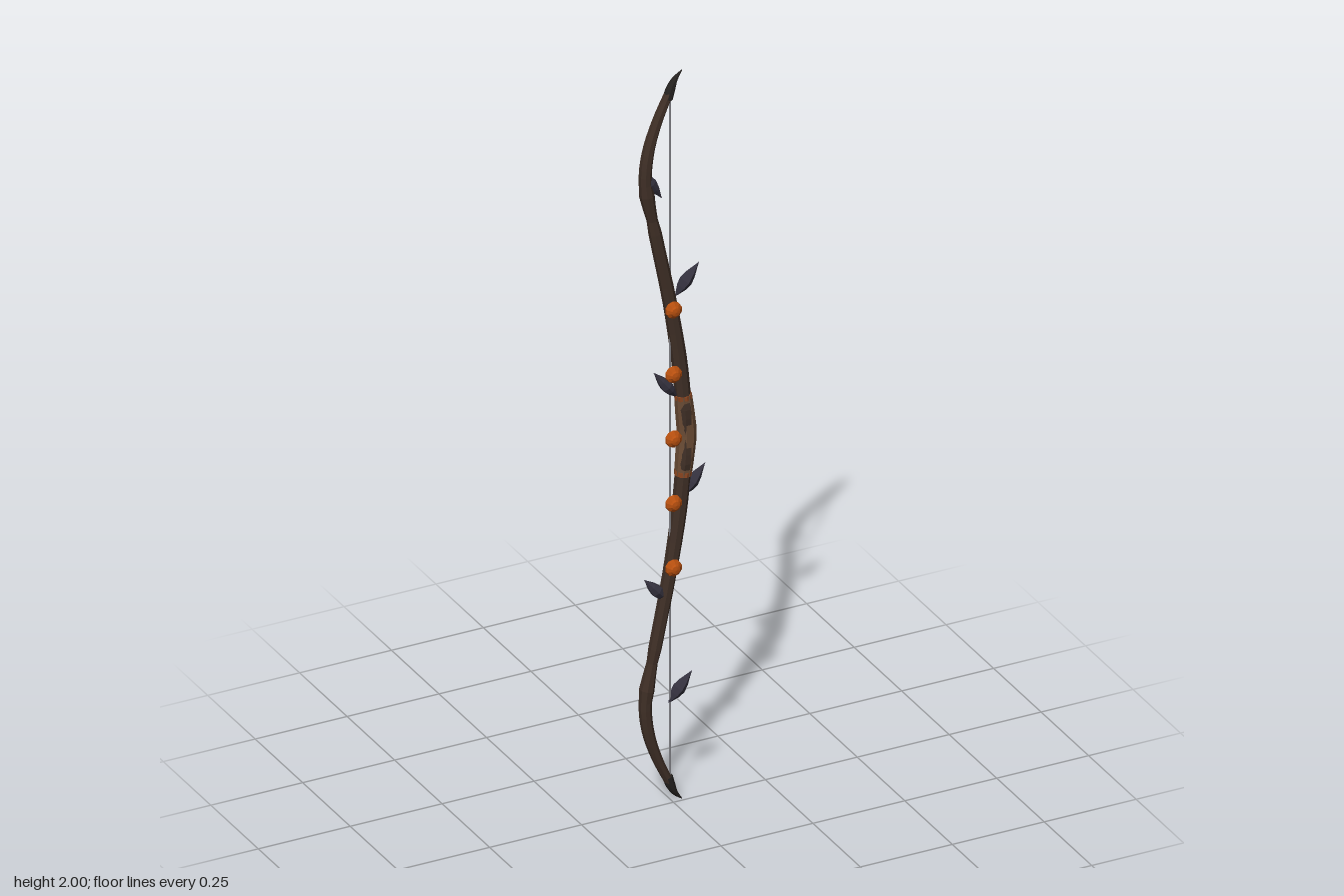
import * as THREE from 'three';

const Z = -0.008; // plane of the bow
const mat = (color) => new THREE.MeshStandardMaterial({ color, flatShading: true });
const wood = mat(0x3f2f26), leather = mat(0x6b4c35), dark = mat(0x24211f);
const leafMat = mat(0x35323f), orange = mat(0xb8500f), band = mat(0x8a4520), cord = mat(0x85858a);

// Sweeps an eight-sided chamfered section along a path; rows are [x, y, half width, half depth]
function sweep(rows, steps) {
  const path = new THREE.CatmullRomCurve3(rows.map(([x, y]) => new THREE.Vector3(x, y, 0)));
  const size = new THREE.CatmullRomCurve3(rows.map((r) => new THREE.Vector3(r[2], r[3], 0)));
  const pos = [], idx = [], N = 8;
  for (let i = 0; i <= steps; i++) {
    const u = i / steps, p = path.getPoint(u), t = path.getTangent(u), s = size.getPoint(u);
    for (let j = 0; j < N; j++) {
      const a = ((j + 0.5) / N) * Math.PI * 2;
      const w = Math.cos(a) * s.x * 1.08, d = Math.sin(a) * s.y * 1.08;
      pos.push(p.x + t.y * w, p.y - t.x * w, d);
    }
  }
  for (let i = 0; i < steps; i++) {
    for (let j = 0; j < N; j++) {
      const a = i * N + j, b = i * N + ((j + 1) % N);
      idx.push(a, a + N, b, b, a + N, b + N);
    }
  }
  // end caps
  const e = steps * N;
  for (let j = 1; j < N - 1; j++) idx.push(0, j, j + 1, e, e + j + 1, e + j);
  const g = new THREE.BufferGeometry();
  g.setAttribute('position', new THREE.Float32BufferAttribute(pos, 3));
  g.setIndex(idx);
  g.computeVertexNormals();
  return g;
}

// Lower half rows plus their mirror image above y = 1
const mirrored = (rows) => [
  ...rows,
  ...rows.filter((r) => r[1] < 1).reverse().map(([x, y, w, d]) => [x, 2 - y, w, d]),
];

export function createModel() {
  const bow = new THREE.Group();
  bow.name = 'bow';
  const add = (name, geometry, material, x = 0, y = 0, z = Z) => {
    const m = new THREE.Mesh(geometry, material);
    m.name = name;
    m.position.set(x, y, z);
    bow.add(m);
    return m;
  };

  // Recurved limbs in one sweep
  add('limbs', sweep(mirrored([
    [-0.006, 0.05, 0.010, 0.011],
    [-0.042, 0.13, 0.012, 0.013],
    [-0.066, 0.21, 0.014, 0.015],
    [-0.072, 0.29, 0.015, 0.016],
    [-0.046, 0.43, 0.015, 0.016],
    [-0.006, 0.63, 0.016, 0.017],
    [0.019, 0.79, 0.018, 0.018],
    [0.030, 0.90, 0.018, 0.019],
    [0.036, 1.00, 0.018, 0.019],
  ]), 64), wood);

  // Grip swelling toward +x
  add('grip', sweep(mirrored([
    [0.030, 0.89, 0.020, 0.020],
    [0.035, 0.94, 0.022, 0.021],
    [0.040, 1.00, 0.023, 0.021],
  ]), 12), leather);

  for (const s of [-1, 1]) {
    const end = s < 0 ? 'lower' : 'upper';
    // Bands at the ends of the grip
    const b = add(end + 'GripBand', new THREE.CylinderGeometry(0.0225, 0.0225, 0.012, 8), band, 0.030, 1 + s * 0.105);
    b.rotation.z = s * 0.1;
    // Curved horn tips and their collars
    const tip = sweep([
      [-0.012, 0.93, 0.012, 0.012],
      [-0.004, 0.955, 0.011, 0.011],
      [0.007, 0.978, 0.007, 0.008],
      [0.027, 1.0, 0.001, 0.001],
    ], 8);
    const horn = add(end + 'Tip', tip, dark, 0, 1);
    if (s < 0) horn.rotation.x = Math.PI;
  }

  // Bowstring
  add('string', new THREE.CylinderGeometry(0.0028, 0.0028, 1.9, 6), cord, -0.005, 1);

  // Round ornaments along the front, each a disc with a small dome
  const beadProfile = [[0, -0.015], [0.014, -0.013], [0.022, -0.004], [0.021, 0.004], [0.014, 0.009], [0.011, 0.013], [0, 0.015]]
    .map(([x, y]) => new THREE.Vector2(x, y));
  const beadGeo = new THREE.LatheGeometry(beadProfile, 10).rotateX(Math.PI / 2);
  for (let i = 0; i < 5; i++) add('bead', beadGeo, orange, -0.006, 0.65 + i * 0.177, 0.013);

  // Pointed leaves: base x, y and tip x, y
  const leafProfile = [[0, 0], [0.005, 0.1], [0.013, 0.28], [0.0165, 0.45], [0.012, 0.66], [0.005, 0.85], [0, 1]]
    .map(([x, y]) => new THREE.Vector2(x, y));
  const leafGeo = new THREE.LatheGeometry(leafProfile, 6);
  const leaves = [
    [-0.086, 1.752, -0.027, 1.66],
    [0.008, 1.382, 0.074, 1.462],
    [0.014, 1.105, -0.050, 1.187],
    [0.026, 0.828, 0.091, 0.907],
    [-0.014, 0.555, -0.076, 0.625],
    [-0.010, 0.270, 0.055, 0.345],
  ];
  for (const [x, y, tx, ty] of leaves) {
    const leaf = add('leaf', leafGeo, leafMat, x, y);
    leaf.scale.y = Math.hypot(tx - x, ty - y);
    leaf.rotation.z = Math.atan2(x - tx, ty - y);
  }
  return bow;
}
